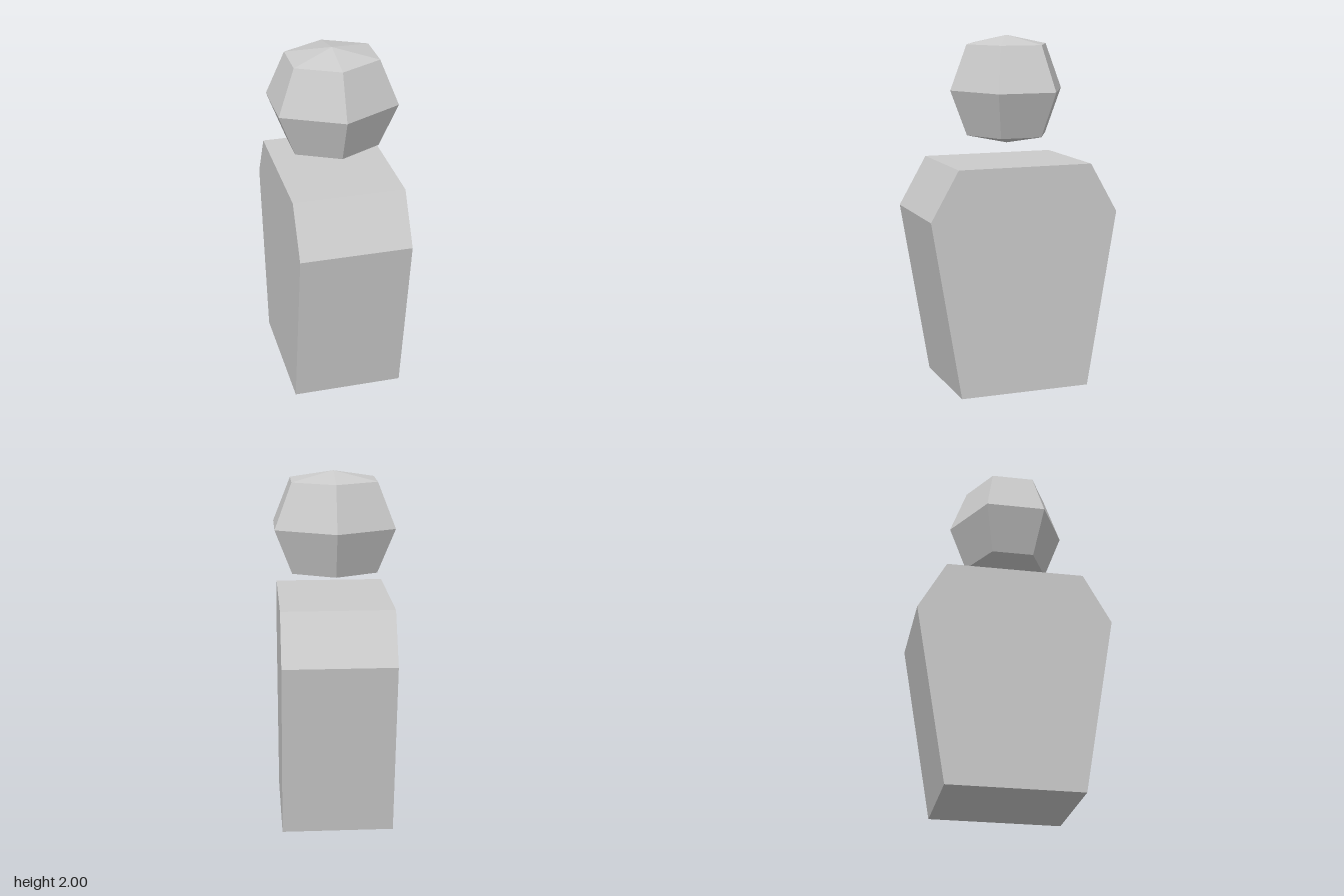
import * as THREE from 'three';

const material = new THREE.MeshStandardMaterial({ color: 0xcccccc, flatShading: true });

function addPart(group, name, geometry) {
  const mesh = new THREE.Mesh(geometry, material);
  mesh.name = name;
  group.add(mesh);
  return mesh;
}

export function createModel() {
  const group = new THREE.Group();
  group.name = 'bottle';

  // Body: tapered side outline with sloped shoulders, extruded across the width
  const half = [[0.38, 0], [0.55, 1.01], [0.39, 1.29]];
  const mirrored = half.map(([z, y]) => [-z, y]).reverse();
  const outline = new THREE.Shape([...half, ...mirrored].map(([z, y]) => new THREE.Vector2(z, y)));
  const width = 0.63;
  const body = new THREE.ExtrudeGeometry(outline, { depth: width, bevelEnabled: false });
  body.translate(0, 0, -width / 2).rotateY(Math.PI / 2);
  addPart(group, 'body', body);

  // Stopper: six-sided faceted ball with shallow pointed caps, floating above the body
  const profile = [[0, 1.39], [0.238, 1.44], [0.335, 1.695], [0.238, 1.95], [0, 2]];
  const stopper = new THREE.LatheGeometry(profile.map(([r, y]) => new THREE.Vector2(r, y)), 6);
  // Widen the hexagon so its flats reach as far sideways as its corners do front to back
  stopper.scale(1 / Math.cos(Math.PI / 6), 1, 1);
  addPart(group, 'stopper', stopper);

  return group;
}
